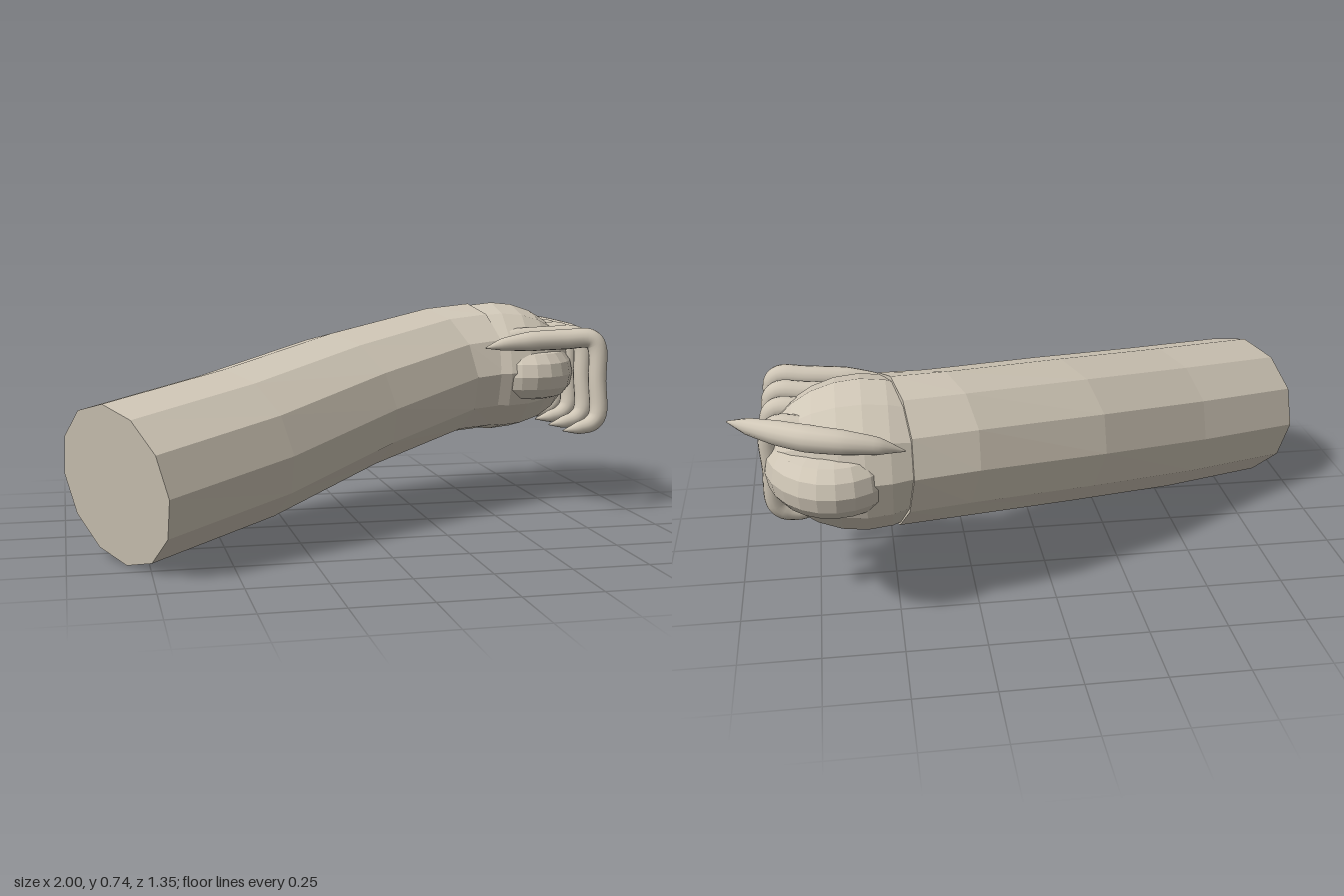
import * as THREE from 'three';

const skin = new THREE.MeshStandardMaterial({ color: 0xcfc6b6 });
skin.name = 'skin';

// Facet a geometry so every face has its own normal
function facet(geometry) {
  const g = geometry.index ? geometry.toNonIndexed() : geometry;
  g.computeVertexNormals();
  return g;
}

// Skin a series of elliptical rings [x, y, z, width radius, height radius]
function loft(rings, sides, ref) {
  const centres = rings.map(r => new THREE.Vector3(r[0], r[1], r[2]));
  const pos = [], index = [], last = rings.length - 1;
  rings.forEach((r, i) => {
    const t = centres[Math.min(i + 1, last)].clone().sub(centres[Math.max(i - 1, 0)]).normalize();
    const up = ref.clone().addScaledVector(t, -ref.dot(t)).normalize();
    const side = up.clone().cross(t);
    for (let j = 0; j < sides; j++) {
      const a = j / sides * Math.PI * 2;
      const p = centres[i].clone().addScaledVector(side, Math.cos(a) * r[3]).addScaledVector(up, Math.sin(a) * r[4]);
      pos.push(p.x, p.y, p.z);
      if (i < last) {
        const k = (j + 1) % sides, a0 = i * sides + j, b0 = i * sides + k;
        index.push(a0, b0, b0 + sides, a0, b0 + sides, a0 + sides);
      }
    }
  });
  // End caps
  const n = rings.length * sides;
  pos.push(...centres[0].toArray(), ...centres[last].toArray());
  for (let j = 0; j < sides; j++) {
    const k = (j + 1) % sides;
    index.push(n, k, j, n + 1, last * sides + j, last * sides + k);
  }
  const g = new THREE.BufferGeometry();
  g.setAttribute('position', new THREE.Float32BufferAttribute(pos, 3));
  g.setIndex(index);
  g.computeVertexNormals();
  return g;
}

// Smooth tapered tube through points [x, y, z, radius]
function taperedTube(points, steps, ref) {
  const path = new THREE.CatmullRomCurve3(points.map(p => new THREE.Vector3(p[0], p[1], p[2])), false, 'centripetal');
  const rings = [];
  for (let i = 0; i <= steps; i++) {
    const u = i / steps, c = path.getPoint(u);
    const f = u * (points.length - 1), k = Math.min(Math.floor(f), points.length - 2);
    const r = THREE.MathUtils.lerp(points[k][3], points[k + 1][3], f - k);
    rings.push([c.x, c.y, c.z, r, r]);
  }
  return loft(rings, 14, ref);
}

export function createModel() {
  const model = new THREE.Group();
  model.name = 'armWithHand';
  const add = (name, geometry) => {
    const mesh = new THREE.Mesh(geometry, skin);
    mesh.name = name;
    model.add(mesh);
    return mesh;
  };
  const Y = new THREE.Vector3(0, 1, 0), Z = new THREE.Vector3(0, 0, 1);

  // Forearm: twelve-sided sleeve bending at the wrist
  add('forearm', facet(loft([
    [-0.85, 0.257, 0.435, 0.28, 0.256],
    [-0.45, 0.325, 0.19, 0.28, 0.256],
    [-0.045, 0.42, -0.09, 0.275, 0.245],
    [0.35, 0.49, -0.315, 0.252, 0.237],
    [0.51, 0.5, -0.355, 0.258, 0.238],
  ], 12, Y)));

  // Palm: faceted ellipsoid with its poles along x
  const palm = new THREE.SphereGeometry(1, 12, 12);
  palm.rotateZ(-Math.PI / 2).scale(0.3, 0.24, 0.267).translate(0.59, 0.5, -0.363);
  add('palm', facet(palm));

  // Knuckles: rounded band around the palm
  const band = new THREE.TorusGeometry(0.21, 0.092, 12, 24);
  band.rotateX(Math.PI / 2).scale(0.72, 1, 1).translate(0.68, 0.485, -0.377);
  add('knuckles', facet(band));

  // Fingers: four identical hooked tubes with pointed ends
  const finger = taperedTube([
    [0.47, 0.6, -0.045, 0.002],
    [0.53, 0.612, -0.04, 0.022],
    [0.63, 0.622, -0.032, 0.035],
    [0.76, 0.628, -0.02, 0.036],
    [0.845, 0.63, -0.005, 0.035],
    [0.868, 0.605, 0.003, 0.034],
    [0.868, 0.48, 0.016, 0.032],
    [0.866, 0.36, 0.031, 0.032],
    [0.84, 0.33, 0.034, 0.03],
    [0.79, 0.316, 0.036, 0.022],
    [0.735, 0.308, 0.036, 0.002],
  ], 50, Z);
  for (let i = 0; i < 4; i++) add('finger' + (i + 1), finger).position.z = -0.144 * i;

  // Thumb: curved tapered tube over the back of the hand
  add('thumb', taperedTube([
    [0.47, 0.595, -0.6, 0.002],
    [0.55, 0.62, -0.61, 0.027],
    [0.65, 0.635, -0.602, 0.038],
    [0.75, 0.638, -0.565, 0.042],
    [0.84, 0.635, -0.502, 0.038],
    [0.93, 0.625, -0.415, 0.026],
    [1.0, 0.612, -0.335, 0.002],
  ], 36, Y));

  return model;
}
